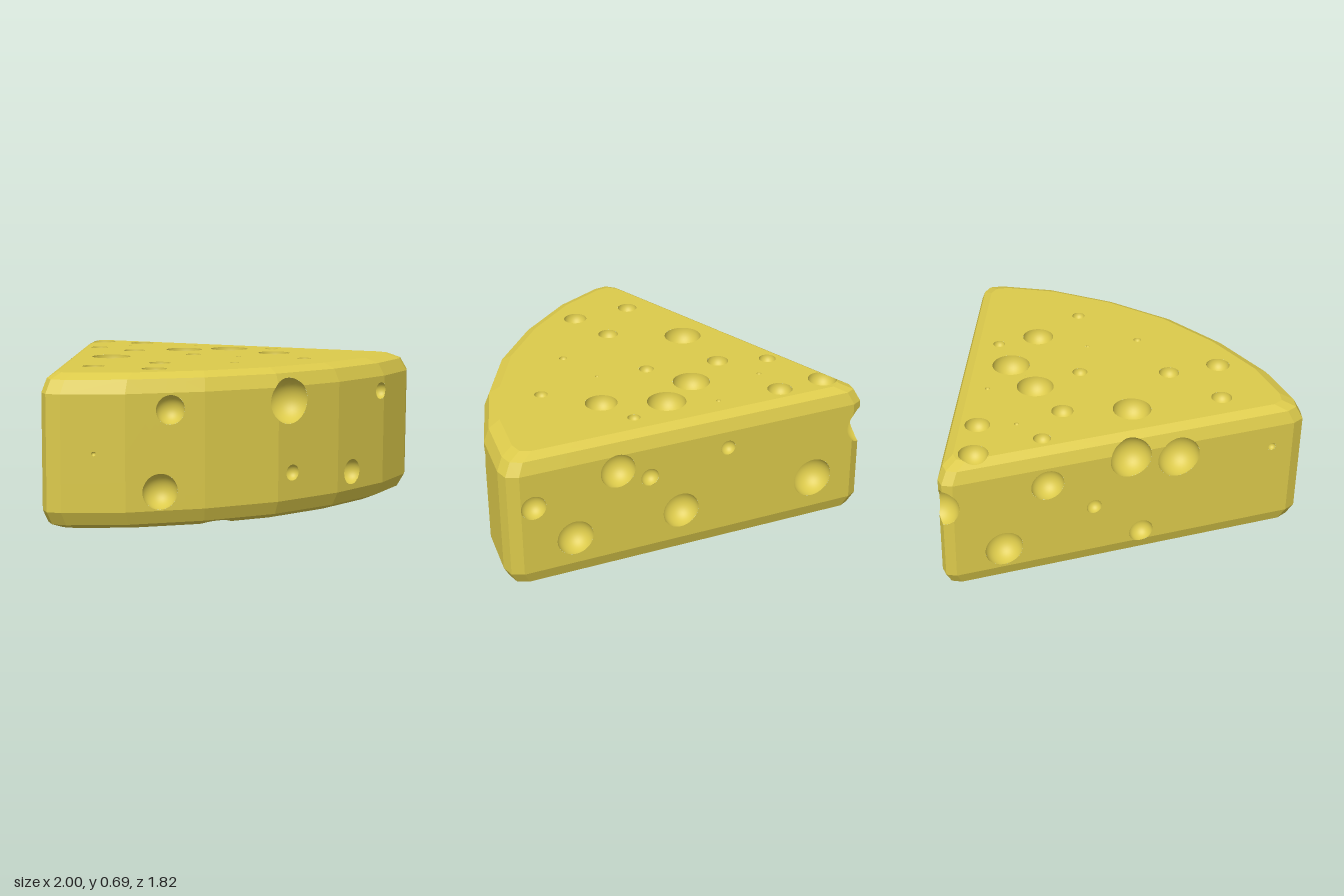
import * as THREE from 'three';
import { ConvexGeometry } from 'three/addons/geometries/ConvexGeometry.js';

const HEIGHT = 0.69;

// Half outline of the wedge (x, z), from the tip round to the middle of the rind
const HALF = [[0, -0.91], [0.045, -0.885], [0.99, 0.52], [1, 0.58], [0.955, 0.63], [0.71, 0.765], [0.365, 0.865], [0, 0.905]];
const RIND = HALF.slice(4);

// Bevel rings: [y, scale of outline]
const RINGS = [[0, 0.9], [0.025, 0.967], [0.085, 1], [0.605, 1], [0.665, 0.967], [HEIGHT, 0.9]];

// Holes per face
const TOP = [ // x, z, radius
  [-0.03, -0.72, 0.07], [0.11, -0.53, 0.06], [-0.2, -0.43, 0.042], [-0.03, -0.41, 0.012], [0.28, -0.26, 0.012],
  [-0.13, -0.19, 0.053], [0.11, -0.1, 0.09], [0.33, -0.02, 0.093], [0.51, 0.1, 0.03], [-0.38, 0.03, 0.092],
  [0.02, 0.14, 0.037], [0.4, 0.28, 0.077], [-0.66, 0.38, 0.05], [-0.33, 0.41, 0.05], [-0.48, 0.62, 0.058],
  [-0.02, 0.57, 0.02], [0.37, 0.58, 0.032], [0.14, 0.36, 0.01]];
const BOTTOM = [ // x, z, radius
  [0.68, 0.54, 0.082], [0.46, 0.38, 0.02], [0.41, 0.64, 0.08], [0.28, -0.09, 0.06], [0.08, 0.09, 0.07],
  [0.04, 0.34, 0.032], [-0.12, 0.51, 0.054], [0.01, 0.64, 0.1], [-0.26, 0.73, 0.105], [-0.29, 0.32, 0.082],
  [-0.29, -0.04, 0.082], [-0.04, -0.37, 0.073], [-0.01, -0.65, 0.085], [-0.68, 0.41, 0.076], [-0.51, 0.62, 0.028]];
const LEFT = [ // z, y, radius
  [0.47, 0.43, 0.06], [0.13, 0.525, 0.085], [0, 0.455, 0.044], [-0.33, 0.52, 0.037],
  [0.31, 0.22, 0.088], [-0.13, 0.235, 0.09], [-0.71, 0.245, 0.1]];
const RIGHT = [ // z, y, radius
  [-0.69, 0.19, 0.092], [-0.51, 0.51, 0.08], [-0.32, 0.335, 0.037], [-0.17, 0.575, 0.102],
  [0.03, 0.53, 0.105], [-0.12, 0.135, 0.06], [0.43, 0.49, 0.02]];
const FRONT = [ // x, y, radius
  [-0.515, 0.53, 0.065], [0.065, 0.54, 0.105], [0.685, 0.535, 0.04], [-0.83, 0.345, 0.01],
  [-0.56, 0.17, 0.08], [0.085, 0.21, 0.037], [0.47, 0.17, 0.06]];

const sideX = (z) => 0.045 + (z + 0.885) * 0.6726;

// z of the rind at a given x
function rindZ(x) {
  const a = Math.abs(x);
  const i = RIND.findIndex((p) => p[0] <= a);
  const [p, q] = [RIND[i - 1], RIND[i]];
  return q[1] + ((a - q[0]) / (p[0] - q[0])) * (p[1] - q[1]);
}

function makeHoles() {
  const holes = [];
  const add = (x, y, z, r) => holes.push({ c: new THREE.Vector3(x, y, z), r });
  TOP.forEach(([x, z, r]) => add(x, HEIGHT, z, r));
  BOTTOM.forEach(([x, z, r]) => add(x, 0, z, r));
  LEFT.forEach(([z, y, r]) => add(sideX(z), y, z, r));
  RIGHT.forEach(([z, y, r]) => add(-sideX(z), y, z, r));
  FRONT.forEach(([x, y, r]) => add(x, y, rindZ(x), r));
  add(0, 0.475, -0.937, 0.097); // notch in the tip
  return holes;
}

// Keep the part of a triangle where f > 0; returns a list of triangles
function clip(tri, f) {
  const vals = tri.map(f);
  if (vals.every((v) => v > 0)) return [tri];
  if (vals.every((v) => v <= 0)) return [];
  const poly = [];
  for (let i = 0; i < 3; i++) {
    const j = (i + 1) % 3;
    if (vals[i] > 0) poly.push(tri[i]);
    if (vals[i] > 0 !== vals[j] > 0) {
      let inside = vals[i] > 0 ? tri[i] : tri[j];
      let outside = vals[i] > 0 ? tri[j] : tri[i];
      for (let k = 0; k < 14; k++) {
        const mid = inside.clone().lerp(outside, 0.5);
        if (f(mid) > 0) inside = mid; else outside = mid;
      }
      poly.push(inside);
    }
  }
  return poly.slice(2).map((p, i) => [poly[0], poly[i + 1], p]);
}

// Split a triangle along its longest edge until it is fine enough near hole rims
function refine([a, b, c], holes, out) {
  const ab = a.distanceTo(b), bc = b.distanceTo(c), ca = c.distanceTo(a);
  const longest = Math.max(ab, bc, ca);
  const mid = a.clone().add(b).add(c).divideScalar(3);
  const near = holes.filter((h) => Math.abs(h.c.distanceTo(mid) - h.r) < longest * 0.7);
  if (!near.some((h) => longest > Math.max(0.25 * h.r, 0.004))) {
    out.push([a, b, c]);
    return;
  }
  if (bc === longest) [a, b, c] = [b, c, a];
  else if (ca === longest) [a, b, c] = [c, a, b];
  const m = a.clone().lerp(b, 0.5);
  refine([a, m, c], near, out);
  refine([m, b, c], near, out);
}

function triangles(geometry) {
  const g = geometry.index ? geometry.toNonIndexed() : geometry;
  const pos = g.attributes.position;
  const list = [];
  for (let i = 0; i < pos.count; i += 3) {
    list.push([0, 1, 2].map((k) => new THREE.Vector3().fromBufferAttribute(pos, i + k)));
  }
  return list;
}

function makeMesh(name, positions, normals, material) {
  const geometry = new THREE.BufferGeometry();
  geometry.setAttribute('position', new THREE.Float32BufferAttribute(positions, 3));
  geometry.setAttribute('normal', new THREE.Float32BufferAttribute(normals, 3));
  const mesh = new THREE.Mesh(geometry, material);
  mesh.name = name;
  return mesh;
}

export function createModel() {
  const group = new THREE.Group();
  group.name = 'cheeseWedge';
  const material = new THREE.MeshStandardMaterial({ color: 0xdcca4b });
  const holes = makeHoles();
  const solid = (p, skip) => {
    let d = Infinity;
    for (const h of holes) if (h !== skip) d = Math.min(d, h.c.distanceTo(p) - h.r);
    return d;
  };

  // Bevelled wedge as the hull of its rings
  const points = [];
  for (const [y, s] of RINGS) {
    for (const [x, z] of HALF) {
      for (const side of x ? [1, -1] : [1]) points.push(new THREE.Vector3(side * x * s, y, 0.17 + (z - 0.17) * s));
    }
  }
  const hull = triangles(new ConvexGeometry(points));
  const planes = [];

  // Outer skin with round openings
  const skinPos = [], skinNor = [];
  for (const tri of hull) {
    const t = new THREE.Triangle(...tri);
    if (t.getArea() < 1e-7) continue;
    const plane = t.getPlane(new THREE.Plane());
    planes.push(plane);
    const pieces = [];
    refine(tri, holes, pieces);
    for (const piece of pieces) {
      for (const part of clip(piece, (p) => solid(p))) {
        for (const p of part) {
          skinPos.push(p.x, p.y, p.z);
          skinNor.push(plane.normal.x, plane.normal.y, plane.normal.z);
        }
      }
    }
  }
  group.add(makeMesh('cheeseBody', skinPos, skinNor, material));

  // Hollows: inward-facing spheres cut off at the skin and at each other
  const inside = (p) => -planes.reduce((d, pl) => Math.max(d, pl.distanceToPoint(p)), -Infinity);
  const pitPos = [], pitNor = [];
  for (const h of holes) {
    const ball = new THREE.IcosahedronGeometry(h.r, h.r > 0.03 ? 7 : 4).translate(h.c.x, h.c.y, h.c.z);
    for (const tri of triangles(ball)) {
      for (const part of clip(tri, (p) => Math.min(inside(p), solid(p, h)))) {
        for (const p of [part[0], part[2], part[1]]) {
          const n = h.c.clone().sub(p).normalize();
          pitPos.push(p.x, p.y, p.z);
          pitNor.push(n.x, n.y, n.z);
        }
      }
    }
  }
  group.add(makeMesh('cheeseHoles', pitPos, pitNor, material));
  return group;
}
